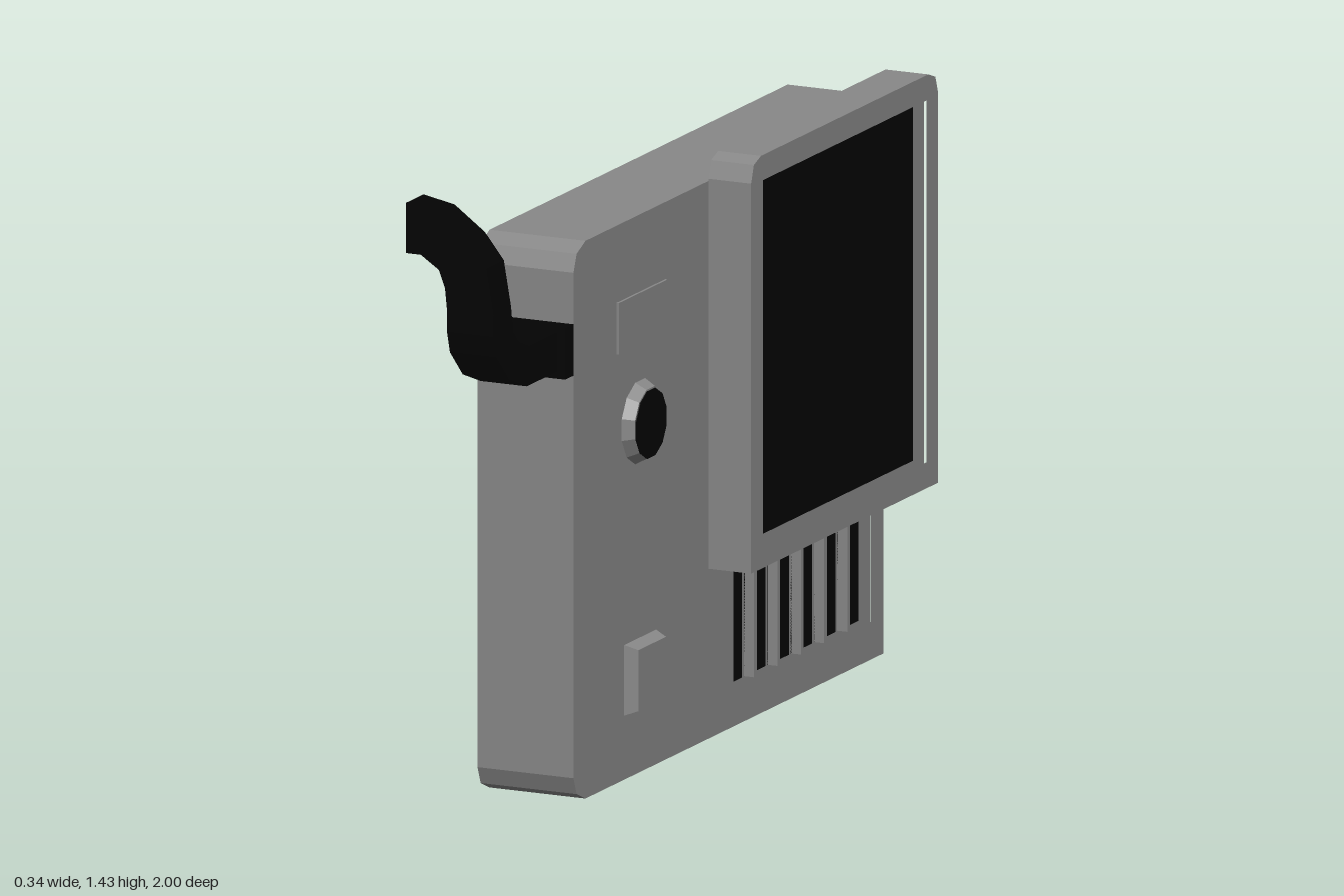
import * as THREE from 'three';

const grey = new THREE.MeshStandardMaterial({ color: 0x888888, flatShading: true });
const black = new THREE.MeshStandardMaterial({ color: 0x030303, flatShading: true });

const polygon = (points) => new THREE.Shape(points.map(([u, v]) => new THREE.Vector2(u, v)));
const rect = (z0, z1, y0, y1) => [[z0, y0], [z1, y0], [z1, y1], [z0, y1]];

// Slab whose outline is given as [z, y] points, spanning x0..x1, with optional holes
function slabX(points, x0, x1, holes = []) {
  const flip = (list) => list.map(([z, y]) => [-z, y]);
  const shape = polygon(flip(points));
  shape.holes = holes.map((h) => polygon(flip(h)));
  return new THREE.ExtrudeGeometry(shape, { depth: x1 - x0, bevelEnabled: false })
    .rotateY(Math.PI / 2).translate(x0, 0, 0);
}

// Frustum pointing along +x with its base at x0
function studX(radiusTop, radiusBase, height, sides, x0, y, z) {
  return new THREE.CylinderGeometry(radiusTop, radiusBase, height, sides)
    .rotateY(Math.PI / sides).rotateZ(-Math.PI / 2).translate(x0 + height / 2, y, z);
}

export function createModel() {
  const model = new THREE.Group();
  const add = (name, geometry, material) => {
    const mesh = new THREE.Mesh(geometry, material);
    mesh.name = name;
    model.add(mesh);
  };

  const back = -0.172, floor = 0.034, face = 0.066, front = 0.172;

  // Case with clipped corners at one end and six slots cut in its face
  const outline = [
    [-0.94, 0], [0.575, 0], [0.62, 0.02], [0.636, 0.06],
    [0.636, 1.22], [0.62, 1.26], [0.575, 1.28], [-0.94, 1.28],
  ];
  const slots = [];
  for (let i = 0; i < 6; i++) {
    const z = -0.23 - i * 0.1185;
    slots.push(rect(z - 0.0525, z + 0.0525, 0.086, 0.368));
  }
  add('caseBody', slabX(outline, back, floor), grey);
  add('caseFace', slabX(outline, floor, face, slots), grey);
  slots.forEach((slot, i) => add(`slotFloor${i + 1}`, slabX(slot, floor - 0.005, floor + 0.002), black));

  // Raised display frame with a recessed dark screen
  const frame = [
    [-1, 0.39], [-0.05, 0.39], [-0.05, 1.285], [-0.064, 1.325], [-0.1, 1.338],
    [-0.95, 1.338], [-0.986, 1.325], [-1, 1.285],
  ];
  const opening = rect(-0.94, -0.11, 0.45, 1.28);
  add('displayBack', slabX(frame, face, 0.137), grey);
  add('displayFrame', slabX(frame, 0.137, front, [opening]), grey);
  add('screen', slabX(opening, 0.132, 0.139), black);

  // Controls on the face
  add('labelPlate', slabX(rect(0.17, 0.418, 0.985, 1.103), face - 0.005, face + 0.006), grey);
  add('knob', studX(0.082, 0.097, 0.026, 12, face, 0.805, 0.297), grey);
  add('knobCap', studX(0.08, 0.08, 0.006, 12, face + 0.022, 0.803, 0.297), black);
  const r = Math.SQRT2;
  add('squareButton', studX(0.07 * r, 0.081 * r, 0.03, 4, face, 0.228, 0.297), grey);

  // Bracket at the clipped end of the case, outlined as [x, -z] and extruded upward
  const bracket = polygon([[back, -0.636], [-0.085, -0.678], [face, -0.678], [face, -0.636]]);
  add('handleBracket', new THREE.ExtrudeGeometry(bracket, { depth: 0.118, bevelEnabled: false })
    .rotateX(-Math.PI / 2).translate(0, 0.984, 0), black);

  // Bent arm: first bend turns upward, second bend turns sideways
  const lower = [
    [0.66, 1.0], [0.83, 1.0], [0.92, 1.035], [0.985, 1.1], [1, 1.15], [1, 1.2],
    [0.91, 1.2], [0.9, 1.14], [0.87, 1.11], [0.82, 1.09], [0.66, 1.09],
  ];
  add('armLower', slabX(lower, -0.07, 0.045), black);
  const upper = polygon([
    [-0.07, 1.2], [0.045, 1.2], [0.027, 1.305], [-0.02, 1.365], [-0.095, 1.42], [back, 1.435],
    [back, 1.32], [-0.135, 1.32], [-0.09, 1.29], [-0.075, 1.25],
  ]);
  add('armUpper', new THREE.ExtrudeGeometry(upper, { depth: 0.09, bevelEnabled: false })
    .translate(0, 0, 0.91), black);

  return model;
}
